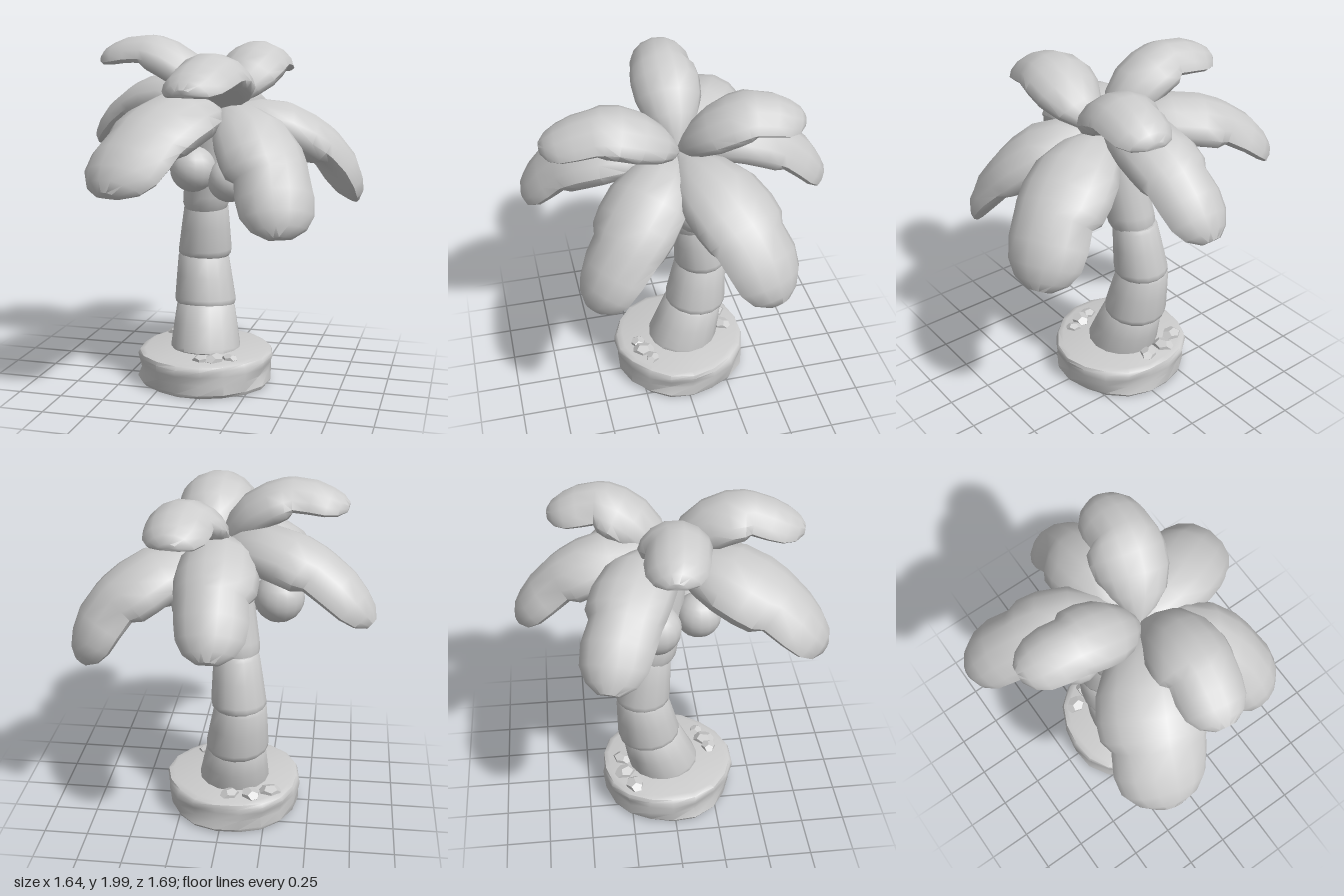
import * as THREE from 'three';
import { toCreasedNormals } from 'three/addons/utils/BufferGeometryUtils.js';

const V = (x, y, z) => new THREE.Vector3(x, y, z);

// Closed skin over a list of rings (each an array of points), capped at both ends
function loft(rings, crease) {
  const n = rings[0].length, pts = rings.flat(), index = [];
  for (let i = 0; i < rings.length - 1; i++) {
    for (let j = 0; j < n; j++) {
      const a = i * n + j, b = i * n + (j + 1) % n, c = a + n, d = b + n;
      index.push(a, c, b, b, c, d);
    }
  }
  [0, rings.length - 1].forEach((r, end) => {
    const mid = rings[r].reduce((s, p) => s.add(p), V(0, 0, 0)).divideScalar(n);
    const m = pts.push(mid) - 1;
    for (let j = 0; j < n; j++) {
      const a = r * n + j, b = r * n + (j + 1) % n;
      if (end) index.push(m, b, a); else index.push(m, a, b);
    }
  });
  const geo = new THREE.BufferGeometry().setFromPoints(pts);
  geo.setIndex(index);
  return toCreasedNormals(geo, crease);
}

// Level ring, optionally tilted along z and with an uneven rim
function ring(x, y, z, r, n, tilt = 0, wobble = () => 0) {
  return Array.from({ length: n }, (_, j) => {
    const a = j / n * Math.PI * 2, q = r + wobble(a, y);
    return V(x + Math.cos(a) * q, y + Math.sin(a) * q * tilt, z + Math.sin(a) * q);
  });
}

// Along the frond: [t, notched width, plain width, upper thickness, lower thickness]
const FROND = [
  [0.00, 0.14, 0.14, 0.18, 0.3], [0.08, 0.47, 0.47, 0.48, 0.8],
  [0.20, 0.79, 0.79, 0.8, 1.2], [0.34, 0.98, 0.98, 1.0, 1.4],
  [0.48, 1.03, 1.03, 1.0, 1.42], [0.58, 0.99, 1.0, 0.98, 1.3],
  [0.635, 0.82, 0.96, 0.95, 0.8], [0.76, 0.87, 0.92, 0.9, 0.72],
  [0.87, 0.81, 0.83, 0.76, 0.62], [0.95, 0.60, 0.62, 0.57, 0.45],
  [1.00, 0.28, 0.28, 0.24, 0.2]
];

// Puffy frond swept along a spine; notch (+1 or -1) picks the stepped edge
function frondGeometry(spine, width, notch, thick) {
  const curve = new THREE.CatmullRomCurve3(spine.map(p => V(...p)));
  const n = 14;
  return loft(FROND.map(([t, wr, wl, top, low]) => {
    const c = curve.getPointAt(t), T = curve.getTangentAt(t);
    const S = T.clone().cross(V(0, 1, 0)).normalize(), N = S.clone().cross(T);
    return Array.from({ length: n }, (_, j) => {
      const a = j / n * Math.PI * 2, ca = Math.cos(a), sa = Math.sin(a);
      const w = width * (ca * notch > 0 ? wr : wl);
      const h = thick * (sa > 0 ? top : low * 0.85) * sa;
      const droop = 0.045 * ca * ca * top;
      return c.clone().addScaledVector(S, w * ca).addScaledVector(N, h - droop);
    });
  }), 0.85);
}

export function createModel() {
  const tree = new THREE.Group();
  tree.name = 'palmTree';
  const grey = new THREE.MeshStandardMaterial({ color: 0xcccccc });
  grey.name = 'plainGrey';
  const add = (name, geo, parent = tree) => {
    const m = new THREE.Mesh(geo, grey);
    m.name = name;
    parent.add(m);
    return m;
  };
  const group = name => {
    const g = new THREE.Group();
    g.name = name;
    tree.add(g);
    return g;
  };

  // Rough round base
  const rough = (a, y) => 0.006 * Math.sin(5 * a + y * 40) + 0.005 * Math.sin(3 * a - y * 25);
  add('base', loft([[0.003, 0.375], [0.025, 0.39], [0.08, 0.382], [0.13, 0.392],
    [0.165, 0.395], [0.185, 0.385], [0.195, 0.355]].map(([y, r]) => ring(-0.047, y, -0.017, r, 18, 0, rough)), 0.75));

  // Pebbles on the base: x, z, size
  const pebbles = group('pebbles');
  [[0.0, 0.25, 0.045], [0.07, 0.23, 0.055], [0.15, 0.19, 0.04],
    [-0.05, -0.29, 0.05], [-0.17, -0.28, 0.055], [-0.28, -0.23, 0.055]].forEach(([x, z, s], i) => {
    const p = add('pebble', new THREE.DodecahedronGeometry(s), pebbles);
    p.geometry = toCreasedNormals(p.geometry, 0.3);
    p.position.set(x, 0.198, z);
    p.scale.set(1.2, 0.65, 1);
    p.rotation.y = i * 1.3;
  });

  // Trunk segments: bottom [x, y, z, radius], top [x, y, z, radius], tilt
  const trunk = group('trunk');
  [
    [[-0.05, 0.16, -0.03, 0.205], [-0.072, 0.44, -0.115, 0.172], 0.12],
    [[-0.075, 0.42, -0.122, 0.18], [-0.1, 0.73, -0.165, 0.15], 0.08],
    [[-0.09, 0.71, -0.163, 0.157], [-0.07, 1.03, -0.12, 0.13], -0.02],
    [[-0.068, 1.01, -0.103, 0.137], [0.0, 1.6, 0.0, 0.118], -0.08]
  ].forEach(([b, t, tilt]) => {
    const at = (k, r) => ring(...[0, 1, 2].map(i => b[i] + (t[i] - b[i]) * k), r, 16, tilt);
    add('trunkSegment', loft([at(0, b[3] * 0.9), at(0.06, b[3] * 0.99), at(0.14, b[3]),
      at(0.55, (b[3] + t[3]) / 2), at(0.93, t[3]), at(1, t[3] * 0.92)], 0.8), trunk);
  });

  // Coconuts under the crown: x, y, z, radius
  const nuts = group('coconuts');
  [[0.135, 1.212, 0.15, 0.122], [-0.07, 1.268, 0.16, 0.128], [0.18, 1.28, -0.06, 0.125],
    [-0.3, 1.36, -0.1, 0.14]].forEach(([x, y, z, r]) => {
    add('coconut', new THREE.SphereGeometry(r, 16, 12), nuts).position.set(x, y, z);
  });

  // Fronds: spine points, half width, notched edge, thickness
  const fronds = group('fronds');
  [
    // lower tier
    ['frontRightFrond', [[0.03, 1.58, 0.03], [-0.11, 1.58, 0.3], [-0.25, 1.45, 0.57], [-0.335, 1.21, 0.815]], 0.28, 1, 0.125],
    ['frontLeftFrond', [[0.06, 1.58, 0.04], [0.27, 1.5, 0.22], [0.43, 1.27, 0.42], [0.51, 0.99, 0.58]], 0.24, 1, 0.125],
    ['backLeftFrond', [[0.06, 1.58, 0], [0.36, 1.51, -0.15], [0.62, 1.32, -0.29], [0.76, 1.05, -0.37]], 0.25, -1, 0.125],
    ['backFrond', [[0.04, 1.6, 0], [0.01, 1.65, -0.3], [0, 1.53, -0.58], [0, 1.28, -0.825]], 0.215, -1, 0.115],
    ['backRightFrond', [[0.04, 1.6, 0], [-0.28, 1.67, -0.19], [-0.57, 1.56, -0.31], [-0.8, 1.35, -0.38]], 0.215, 1, 0.115],
    // upper tier
    ['upperRightFrond', [[0.03, 1.61, 0.01], [-0.14, 1.81, 0.01], [-0.36, 1.91, 0], [-0.655, 1.86, -0.03]], 0.185, 1, 0.095],
    ['upperBackFrond', [[0.05, 1.61, 0], [0.13, 1.78, -0.16], [0.18, 1.87, -0.35], [0.215, 1.8, -0.625]], 0.2, -1, 0.095],
    ['upperFrontFrond', [[0.06, 1.6, 0.02], [0.1, 1.74, 0.18], [0.09, 1.82, 0.4], [0.04, 1.72, 0.74]], 0.205, 1, 0.095]
  ].forEach(([name, spine, w, notch, thick]) => add(name, frondGeometry(spine, w, notch, thick), fronds));

  return tree;
}
